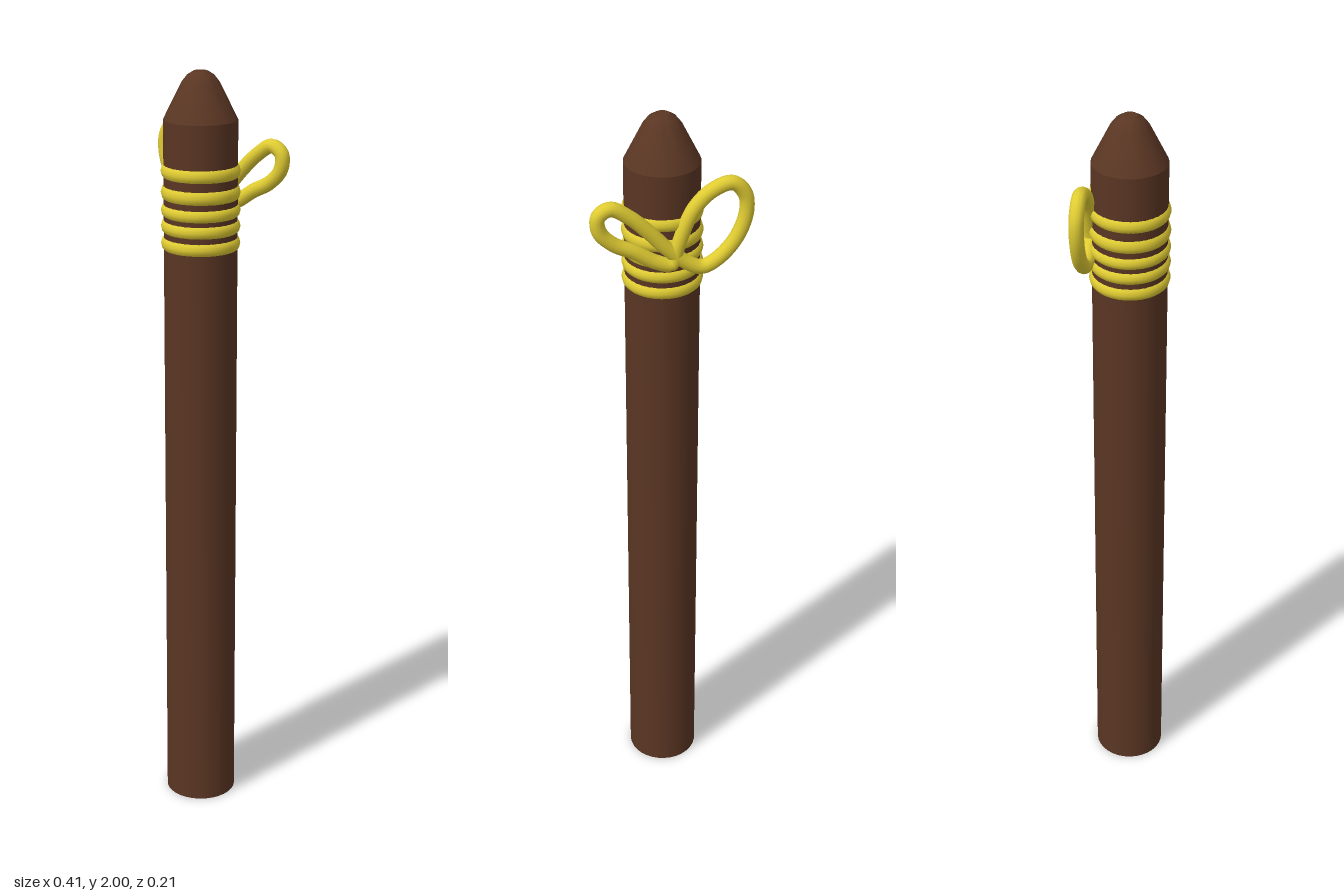
import * as THREE from 'three';
import { toCreasedNormals } from 'three/addons/utils/BufferGeometryUtils.js';

export function createModel() {
  const model = new THREE.Group();
  const wood = new THREE.MeshStandardMaterial({ color: 0x5a3623 });
  const rope = new THREE.MeshStandardMaterial({ color: 0xe0cc33 });
  const centreZ = 0.004;

  const add = (name, geometry, material, parent = model) => {
    const mesh = new THREE.Mesh(geometry, material);
    mesh.name = name;
    parent.add(mesh);
    return mesh;
  };

  // Round post with a blunt sharpened tip
  const profile = [
    [0, 0], [0.094, 0], [0.094, 1.88], [0.048, 1.972], [0.034, 1.99], [0.018, 2], [0, 2],
  ].map(([r, y]) => new THREE.Vector2(r, y));
  const post = add('post', toCreasedNormals(new THREE.LatheGeometry(profile, 32), 0.4), wood);
  post.position.z = centreZ;

  // Rope wound around the post, sunk partly into the wood
  const binding = new THREE.Group();
  binding.name = 'ropeBinding';
  model.add(binding);
  for (const [y, r] of [[1.752, 0.023], [1.698, 0.025], [1.652, 0.02], [1.611, 0.021], [1.567, 0.022]]) {
    const coil = add('ropeCoil', new THREE.TorusGeometry(0.101 - r, r, 12, 48), rope, binding);
    coil.rotation.x = Math.PI / 2;
    coil.position.set(0, y, centreZ);
  }

  // Flat two-looped bow tied at the back
  const bowPath = [
    [0.0, 1.65], [-0.015, 1.7], [-0.05, 1.785], [-0.095, 1.832], [-0.148, 1.848],
    [-0.18, 1.815], [-0.184, 1.765], [-0.16, 1.7], [-0.115, 1.65], [-0.075, 1.632],
    [-0.035, 1.65], [0.015, 1.695], [0.06, 1.745], [0.105, 1.788], [0.152, 1.816],
    [0.181, 1.798], [0.178, 1.758], [0.145, 1.722], [0.095, 1.695], [0.04, 1.66],
  ].map(([x, y]) => new THREE.Vector3(x, y, -0.091));
  const bowCurve = new THREE.CatmullRomCurve3(bowPath, true);
  add('ropeBow', new THREE.TubeGeometry(bowCurve, 120, 0.0185, 12, true), rope);

  return model;
}
